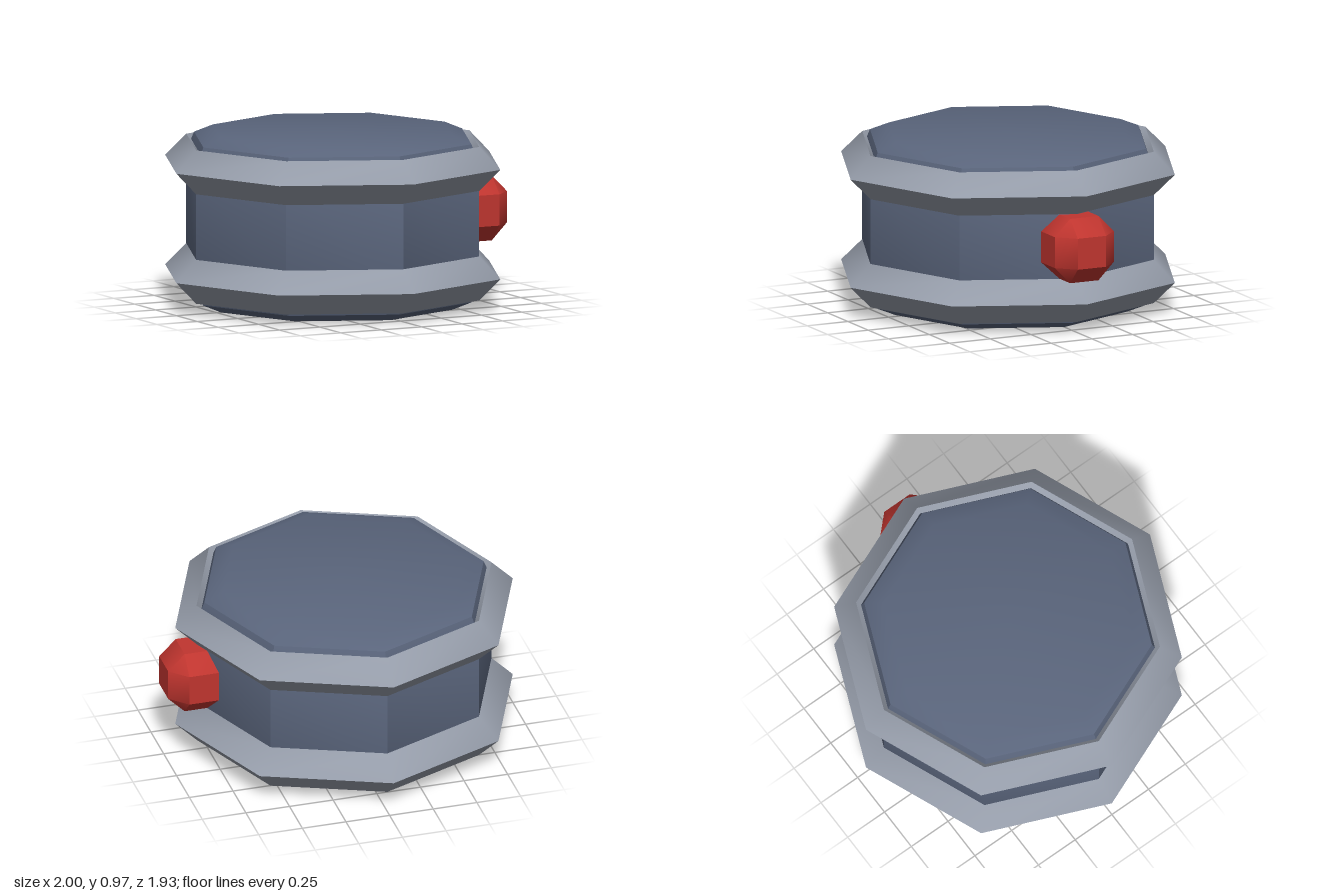
import * as THREE from 'three';
import { toCreasedNormals } from 'three/addons/utils/BufferGeometryUtils.js';
import { ConvexGeometry } from 'three/addons/geometries/ConvexGeometry.js';

const HEIGHT = 0.968, MID = HEIGHT / 2, RADIUS = 0.845, CENTRE_X = -0.033;
const CREASE = THREE.MathUtils.degToRad(40);

function part(name, geometry, color, x, y) {
  const material = new THREE.MeshStandardMaterial({ color });
  const mesh = new THREE.Mesh(toCreasedNormals(geometry, CREASE), material);
  mesh.name = name;
  mesh.position.set(x, y, 0);
  return mesh;
}

// Eight-sided drum whose rims are rounded in two steps
function drumGeometry() {
  const bevel = 0.153, half = [];
  for (let i = 0; i <= 2; i++) {
    const a = (i * Math.PI) / 4;
    half.push([RADIUS - bevel + bevel * Math.cos(a), MID - bevel + bevel * Math.sin(a)]);
  }
  half.push([0, MID]);
  const profile = [
    ...half.map(([r, y]) => new THREE.Vector2(r, -y)).reverse(),
    ...half.map(([r, y]) => new THREE.Vector2(r, y)),
  ];
  return new THREE.LatheGeometry(profile, 8);
}

// Cube with chamfered edges and corners
function chamferedCube(half, flat) {
  const points = [], signs = [-1, 1];
  for (const x of signs) for (const y of signs) for (const z of signs) {
    points.push(
      new THREE.Vector3(x * half, y * flat, z * flat),
      new THREE.Vector3(x * flat, y * half, z * flat),
      new THREE.Vector3(x * flat, y * flat, z * half),
    );
  }
  return new ConvexGeometry(points);
}

export function createModel() {
  const model = new THREE.Group();
  model.name = 'drum';
  model.add(part('drumBody', drumGeometry(), 0x5a657c, CENTRE_X, MID));

  // Diamond-section hoops around the drum
  for (const [name, side] of [['lowerHoop', -1], ['upperHoop', 1]]) {
    const hoop = new THREE.TorusGeometry(RADIUS, 0.122, 4, 8).rotateX(Math.PI / 2);
    model.add(part(name, hoop, 0x959ca9, CENTRE_X, MID + side * 0.304));
  }

  // Red knob on the left side
  model.add(part('sideKnob', chamferedCube(0.181, 0.087), 0xc0352f, 0.819, MID));
  return model;
}
